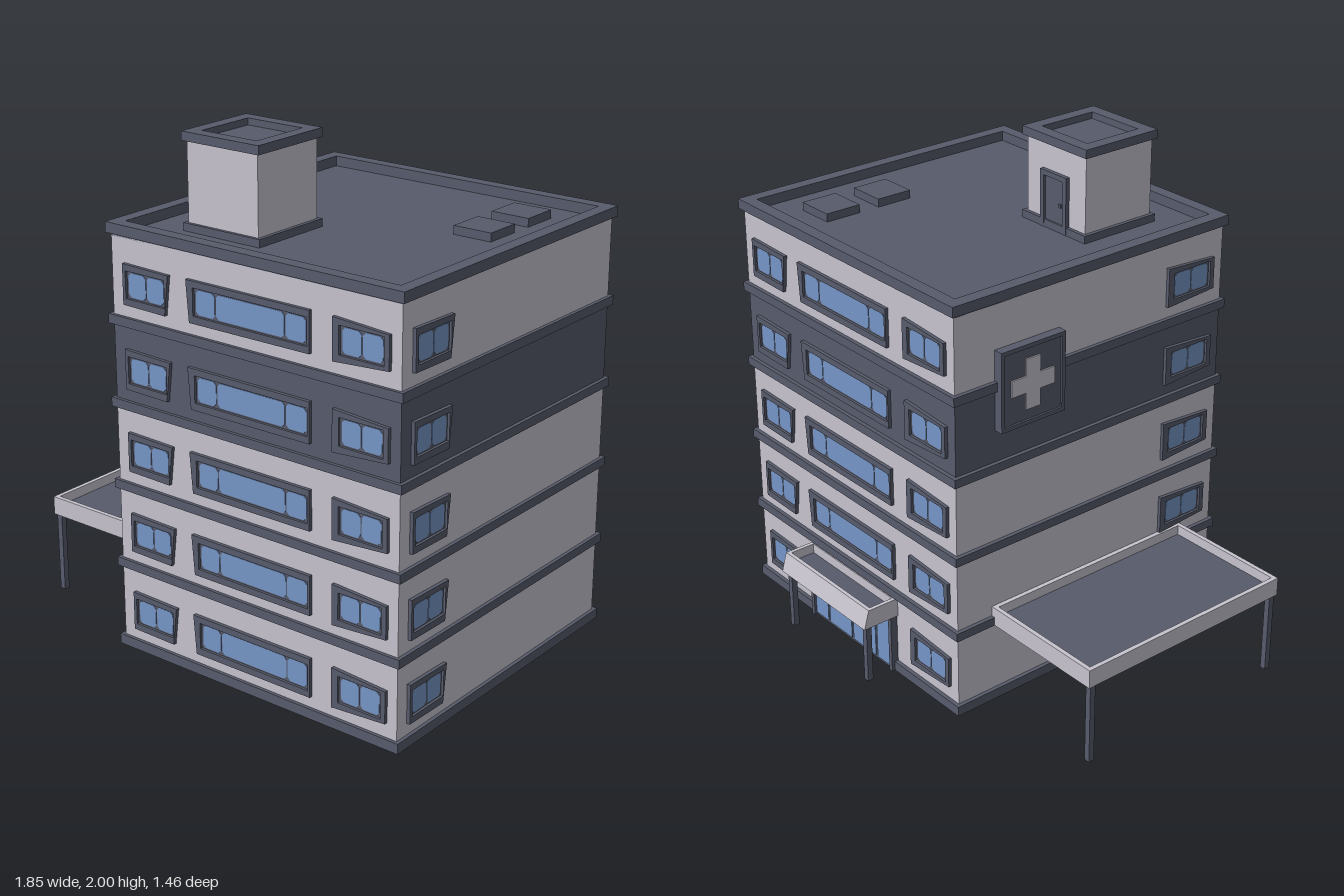
import * as THREE from 'three';

const mat = (name, color) => {
  const m = new THREE.MeshStandardMaterial({ color });
  m.name = name;
  return m;
};

export function createModel() {
  const light = mat('paleWall', 0xc6c3ce);
  const dark = mat('slateTrim', 0x575b6b);
  const glass = mat('blueGlass', 0x7595c6);
  const root = new THREE.Group();
  root.name = 'officeBuilding';

  // Box given by its minimum and maximum on each axis
  function box(name, x0, x1, y0, y1, z0, z1, m, parent = root) {
    const mesh = new THREE.Mesh(new THREE.BoxGeometry(x1 - x0, y1 - y0, z1 - z0), m);
    mesh.position.set((x0 + x1) / 2, (y0 + y1) / 2, (z0 + z1) / 2);
    mesh.name = name;
    parent.add(mesh);
    return mesh;
  }

  const rectPts = (x0, x1, y0, y1) => [[x0, y0], [x1, y0], [x1, y1], [x0, y1]];
  const toVec = pts => pts.map(p => new THREE.Vector2(p[0], p[1]));

  // Extruded outline with an optional opening
  function plate(pts, hole, depth) {
    const s = new THREE.Shape(toVec(pts));
    if (hole) s.holes.push(new THREE.Path(toVec(hole)));
    return new THREE.ExtrudeGeometry(s, { depth, bevelEnabled: false });
  }

  // Horizontal ring with rectangular opening; "slope" pulls the top of the back edge inwards
  function rim(name, x0, x1, z0, z1, y0, y1, t, m, slope = 0) {
    const g = plate(rectPts(x0, x1, -z1, -z0), rectPts(x0 + t, x1 - t, -z1 + t, -z0 - t), y1 - y0);
    g.rotateX(-Math.PI / 2);
    g.translate(0, y0, 0);
    const p = g.attributes.position;
    for (let i = 0; i < p.count; i++) {
      if (slope && p.getY(i) > y1 - 0.001 && p.getZ(i) < (z0 + z1) / 2) p.setZ(i, p.getZ(i) + slope);
    }
    g.computeVertexNormals();
    const mesh = new THREE.Mesh(g, m);
    mesh.name = name;
    root.add(mesh);
  }

  // Storeys and the projecting bands between them
  const bands = [[0, 0.04], [0.33, 0.365], [0.65, 0.685], [0.975, 1.01], [1.297, 1.333]];
  bands.forEach(([a, b], i) => {
    const top = i < 4 ? bands[i + 1][0] : 1.63;
    box('storey' + (i + 1), -0.382, 0.907, b, top, -0.572, 0.719, i === 3 ? dark : light);
    box('floorBand' + (i + 1), -0.398, 0.921, a, b, -0.588, 0.732, dark);
  });
  box('roofDeck', -0.382, 0.907, 1.625, 1.637, -0.572, 0.719, dark);
  rim('parapet', -0.398, 0.921, -0.588, 0.732, 1.637, 1.677, 0.052, dark);

  // Windows: skewed frame, opening, and panes between the listed x stops
  const types = {
    tapered: { q: [[-0.11, -0.077], [0.09, -0.08], [0.108, 0.072], [-0.11, 0.077]], stops: [-0.09, -0.002, 0.084] },
    wide: { q: [[-0.262, -0.08], [0.275, -0.077], [0.275, 0.077], [-0.275, 0.077]], stops: [-0.237, -0.145, 0.165, 0.26] },
    narrowing: { q: [[-0.118, -0.08], [0.117, -0.064], [0.117, 0.062], [-0.118, 0.077]], stops: [-0.084, 0.002, 0.09] },
  };
  for (const t of Object.values(types)) {
    const a = t.stops[0] - 0.006, b = t.stops[t.stops.length - 1] + 0.006;
    t.frame = plate(t.q, rectPts(a, b, -0.052, 0.052), 0.014);
    t.back = plate(rectPts(a, b, -0.052, 0.052), null, 0.003);
    t.panes = t.stops.slice(1).map((x1, i) => {
      const l = t.stops[i] + 0.003, r = x1 - 0.003, h = 0.046, c = 0.012;
      return plate([[l + c, -h], [r - c, -h], [r, c - h], [r, h - c], [r - c, h], [l + c, h], [l, h - c], [l, c - h]], null, 0.003);
    });
  }
  function windowUnit(type, x, y, z, turn) {
    const t = types[type], g = new THREE.Group();
    g.name = type + 'Window';
    const add = (name, geo, m, dz) => {
      const mesh = new THREE.Mesh(geo, m);
      mesh.name = name;
      mesh.position.z = dz;
      g.add(mesh);
    };
    add('windowFrame', t.frame, dark, 0);
    add('windowBacking', t.back, dark, 0.001);
    t.panes.forEach(p => add('windowPane', p, glass, 0.003));
    g.position.set(x, y, z);
    g.rotation.y = turn;
    root.add(g);
  }
  const cx = 0.2625;
  for (let f = 0; f < 5; f++) {
    const y = 0.163 + f * 0.324;
    // front and back rows
    for (const [s, z, turn] of [[1, 0.719, 0], [-1, -0.572, Math.PI]]) {
      windowUnit('tapered', cx - s * 0.4725, y, z, turn);
      windowUnit('narrowing', cx + s * 0.4855, y, z, turn);
      if (s > 0 || f > 0) windowUnit('wide', cx - s * 0.005, y, z, turn);
    }
    // side windows near the front
    windowUnit('tapered', 0.907, y, 0.552, Math.PI / 2);
    windowUnit('narrowing', -0.382, y, 0.552, -Math.PI / 2);
  }

  // Stair tower on the roof
  box('towerBase', -0.195, 0.16, 1.637, 1.667, 0.19, 0.543, dark);
  box('towerWalls', -0.18, 0.145, 1.66, 1.968, 0.205, 0.53, light);
  box('towerRoof', -0.18, 0.145, 1.962, 1.974, 0.205, 0.53, dark);
  rim('towerCap', -0.195, 0.16, 0.19, 0.543, 1.966, 2, 0.052, dark);
  box('towerDoor', -0.075, 0.04, 1.637, 1.845, 0.198, 0.206, dark);
  for (const x of [-0.09, 0.035]) box('doorJamb', x, x + 0.02, 1.637, 1.862, 0.188, 0.206, dark);
  box('doorLintel', -0.09, 0.055, 1.842, 1.862, 0.188, 0.206, dark);
  box('doorHandle', -0.058, -0.045, 1.735, 1.748, 0.19, 0.2, dark);

  // Roof hatches
  for (const z of [-0.41, -0.17]) box('roofHatch', 0.587, 0.746, 1.637, 1.67, z, z + 0.152, dark);

  // Side canopy
  rim('sideCanopyRim', -0.925, -0.382, -0.41, 0.55, 0.33, 0.405, 0.018, light);
  box('sideCanopySoffit', -0.91, -0.384, 0.331, 0.345, -0.395, 0.535, light);
  box('sideCanopyDeck', -0.91, -0.395, 0.345, 0.365, -0.395, 0.535, dark);
  for (const z of [-0.4, 0.515]) box('sideCanopyPost', -0.92, -0.896, 0, 0.332, z, z + 0.024, dark);

  // Entrance canopy with sloped fascia
  rim('entranceCanopyRim', -0.012, 0.54, -0.73, -0.572, 0.247, 0.325, 0.016, light, 0.022);
  box('entranceCanopySoffit', -0.002, 0.53, 0.248, 0.262, -0.716, -0.574, light);
  box('entranceCanopyDeck', 0, 0.528, 0.262, 0.285, -0.705, -0.585, dark);
  for (const x of [0.002, 0.502]) box('entrancePost', x, x + 0.024, 0, 0.25, -0.712, -0.688, dark);

  // Glazed entrance
  box('entranceBacking', -0.005, 0.535, 0, 0.248, -0.59, -0.572, dark);
  const doors = [0.01, 0.105, 0.265, 0.425, 0.52];
  for (let i = 0; i < 4; i++) {
    box('entranceGlass', doors[i] + 0.006, doors[i + 1] - 0.006, 0.012, 0.235, -0.594, -0.589, glass);
  }
  for (const x of [-0.005, 0.517]) box('entranceJamb', x, x + 0.018, 0, 0.248, -0.602, -0.572, dark);

  // Wall panel with a raised plain cross
  box('wallPanel', -0.412, -0.38, 1.137, 1.453, -0.392, -0.095, dark);
  for (const y of [1.137, 1.437]) box('panelRim', -0.42, -0.41, y, y + 0.016, -0.392, -0.095, dark);
  for (const z of [-0.392, -0.111]) box('panelRim', -0.42, -0.41, 1.137, 1.453, z, z + 0.016, dark);
  const w = 0.033, r = 0.1;
  const cross = new THREE.Mesh(plate([[-w, -r], [w, -r], [w, -w], [r, -w], [r, w], [w, w],
    [w, r], [-w, r], [-w, w], [-r, w], [-r, -w], [-w, -w]], null, 0.007), light);
  cross.name = 'raisedCross';
  cross.rotation.y = -Math.PI / 2;
  cross.position.set(-0.411, 1.295, -0.2435);
  root.add(cross);

  return root;
}
